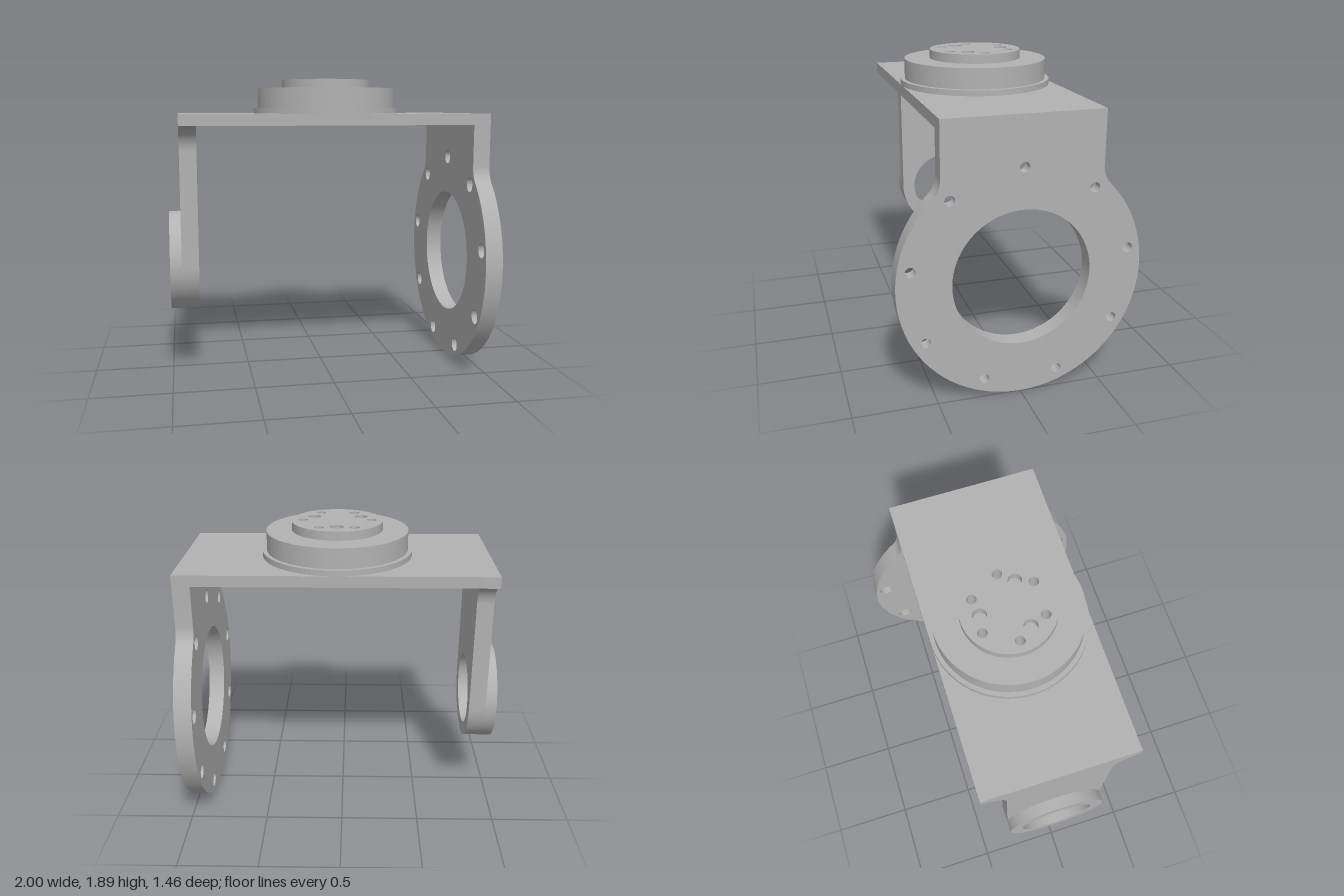
import * as THREE from 'three';
import { toCreasedNormals } from 'three/addons/utils/BufferGeometryUtils.js';

const PI = Math.PI;
const metal = new THREE.MeshStandardMaterial({ color: 0xb2b2b2 });
metal.name = 'grey metal';

// Points on a circle as [x, y, holeRadius]
function ringOf(count, cx, cy, radius, holeRadius, start) {
  return Array.from({ length: count }, (_, i) => {
    const a = start + (i * 2 * PI) / count;
    return [cx + radius * Math.cos(a), cy + radius * Math.sin(a), holeRadius];
  });
}

function circle(cx, cy, r) {
  return new THREE.Shape().absarc(cx, cy, r, 0, 2 * PI, false);
}

// Extrude an outline with round holes from 'from' to 'to'
function slab(shape, holes, from, to, segments = 40) {
  const s = shape.clone();
  s.holes = holes.map(([x, y, r]) => new THREE.Path().absarc(x, y, r, 0, 2 * PI, true));
  const g = new THREE.ExtrudeGeometry(s, { depth: to - from, bevelEnabled: false, curveSegments: segments });
  g.translate(0, 0, from);
  return toCreasedNormals(g, PI / 6);
}

export function createModel() {
  const group = new THREE.Group();
  const add = (name, geometry) => {
    const m = new THREE.Mesh(geometry, metal);
    m.name = name;
    group.add(m);
  };
  // upright: extruded along x; level: extruded along y
  const upright = (name, ...args) => add(name, slab(...args).rotateY(PI / 2));
  const level = (name, ...args) => add(name, slab(...args).rotateX(-PI / 2));

  const W = 0.472, under = 1.61, deck = 1.68, axis = 0.73;

  // Top plate with wide screw recesses
  const cx = 0.035;
  const plate = new THREE.Shape();
  plate.moveTo(-0.928, -W);
  plate.lineTo(1, -W);
  plate.lineTo(1, W);
  plate.lineTo(-0.928, W);
  plate.closePath();
  level('topPlate', plate, ringOf(6, cx, 0, 0.215, 0.045, 0), under, deck);

  // Stepped round flange
  const screws = ringOf(6, cx, 0, 0.215, 0.03, 0);
  const pins = ringOf(3, cx, 0, 0.17, 0.042, PI / 2);
  level('flangeBase', circle(cx, 0, W), screws, deck, 1.715, 64);
  level('flangeBody', circle(cx, 0, 0.445), screws, 1.715, 1.84, 64);
  level('flangeHub', circle(cx, 0, 0.285), [...screws, ...pins], 1.84, 1.895, 64);

  // Large bearing arm: neck blended into a disc
  const R = 0.73, f = 0.15;
  const fx = W + f, fy = axis + Math.sqrt((R + f) ** 2 - fx ** 2);
  const a = Math.atan2(fy - axis, fx);
  const disc = new THREE.Shape();
  disc.moveTo(-W, under);
  disc.lineTo(-W, fy);
  disc.absarc(-fx, fy, f, 0, -a, true);
  disc.absarc(0, axis, R, PI - a, 2 * PI + a, false);
  disc.absarc(fx, fy, f, PI + a, PI, true);
  disc.lineTo(W, under);
  disc.closePath();
  const bore = [0, axis, 0.411];
  upright('discArmInner', disc, [bore, ...ringOf(9, 0, axis, 0.655, 0.047, PI / 2)], 0.892, 0.945, 80);
  upright('discArmOuter', disc, [bore, ...ringOf(9, 0, axis, 0.655, 0.03, PI / 2)], 0.945, 1, 80);

  // Narrow strap arm, flared where it meets the plate
  const r = 0.319, flare = W - r;
  const strap = new THREE.Shape();
  strap.moveTo(-W, under);
  strap.absarc(-W, under - flare, flare, PI / 2, 0, true);
  strap.lineTo(-r, axis);
  strap.absarc(0, axis, r, PI, 2 * PI, false);
  strap.lineTo(r, under - flare);
  strap.absarc(W, under - flare, flare, PI, PI / 2, true);
  strap.closePath();
  const eye = [0, axis, 0.233];
  upright('strapArm', strap, [eye], -0.928, -0.822);
  upright('strapBoss', circle(0, axis, r), [eye], -1, -0.928, 64);

  return group;
}
